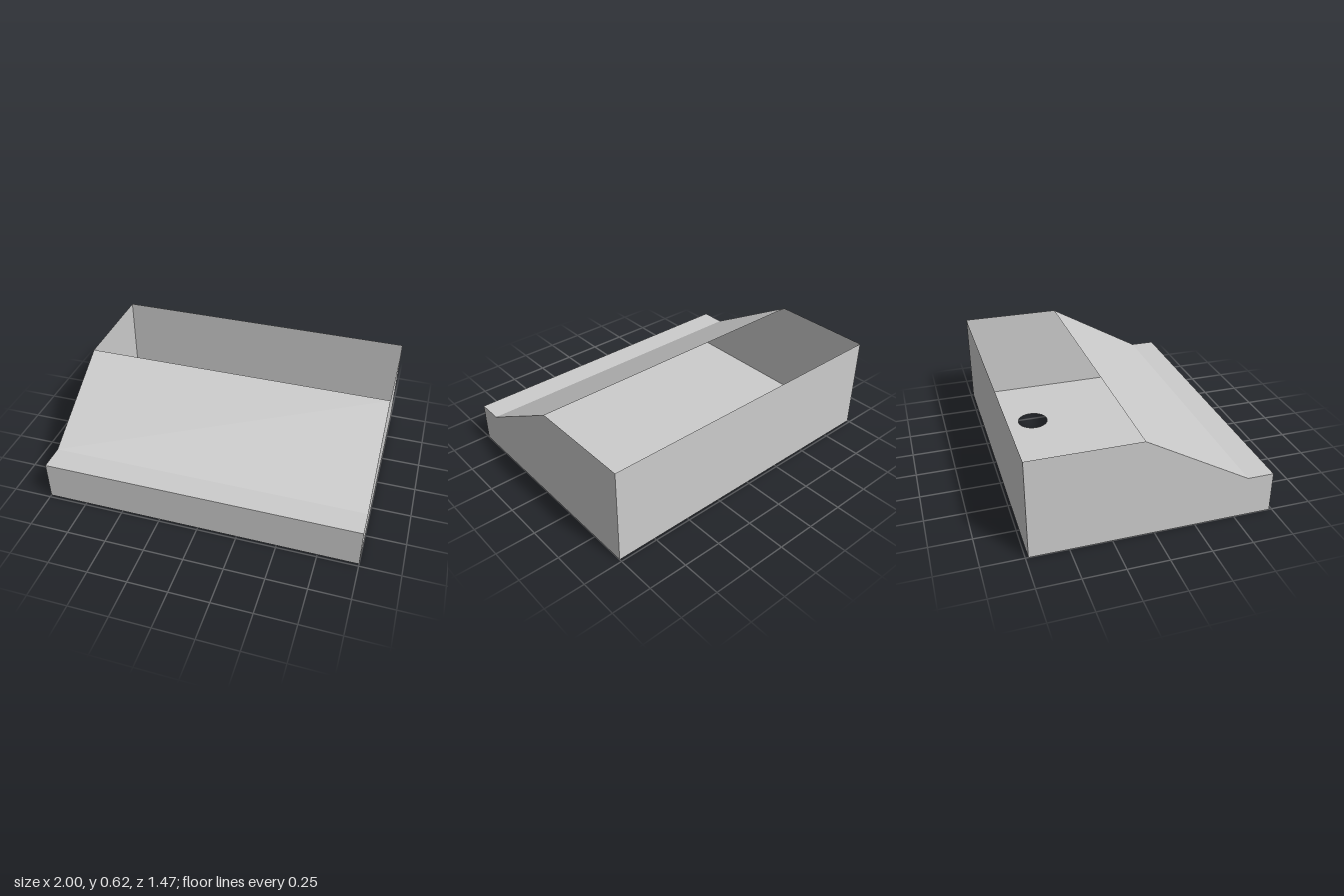
import * as THREE from 'three';

export function createModel() {
  const group = new THREE.Group();
  const grey = new THREE.MeshStandardMaterial({ color: 0xcccccc, side: THREE.DoubleSide });
  grey.name = 'light grey';

  const add = (name, geometry) => {
    const mesh = new THREE.Mesh(geometry, grey);
    mesh.name = name;
    group.add(mesh);
    return mesh;
  };

  const D = 0.733; // half depth
  const H = 0.62; // back height
  const F = 0.255; // front height

  // Side outline as (z, y), from the front foot round to the back foot
  const outline = [[D, 0], [D, F], [0.57, F], [-0.07, H], [-D, H], [-D, 0]]
    .map(([z, y]) => new THREE.Vector2(z, y));

  // Two thin end walls
  for (const [name, x] of [['leftWall', 1], ['rightWall', -1]]) {
    const wall = new THREE.ShapeGeometry(new THREE.Shape(outline));
    wall.rotateY(-Math.PI / 2);
    add(name, wall).position.x = x;
  }

  // Full-width panels along the outline; the top behind the slope stays open
  const panel = (name, a, b) => {
    const geometry = new THREE.PlaneGeometry(2, a.distanceTo(b));
    geometry.rotateX(-Math.atan2(a.x - b.x, b.y - a.y));
    add(name, geometry).position.set(0, (a.y + b.y) / 2, (a.x + b.x) / 2);
  };
  panel('frontWall', outline[0], outline[1]);
  panel('frontLedge', outline[1], outline[2]);
  panel('slopedPanel', outline[2], outline[3]);
  panel('backWall', outline[4], outline[5]);

  // Floor with a large and a small round hole
  const floor = new THREE.Shape([[-1, -D], [1, -D], [1, D], [-1, D]]
    .map(([x, z]) => new THREE.Vector2(x, z)));
  for (const [x, z, r] of [[-0.507, -0.393, 0.152], [0.468, -0.382, 0.105]]) {
    floor.holes.push(new THREE.Path().absarc(x, z, r, 0, Math.PI * 2, true));
  }
  add('floor', new THREE.ShapeGeometry(floor, 32).rotateX(Math.PI / 2));

  return group;
}
